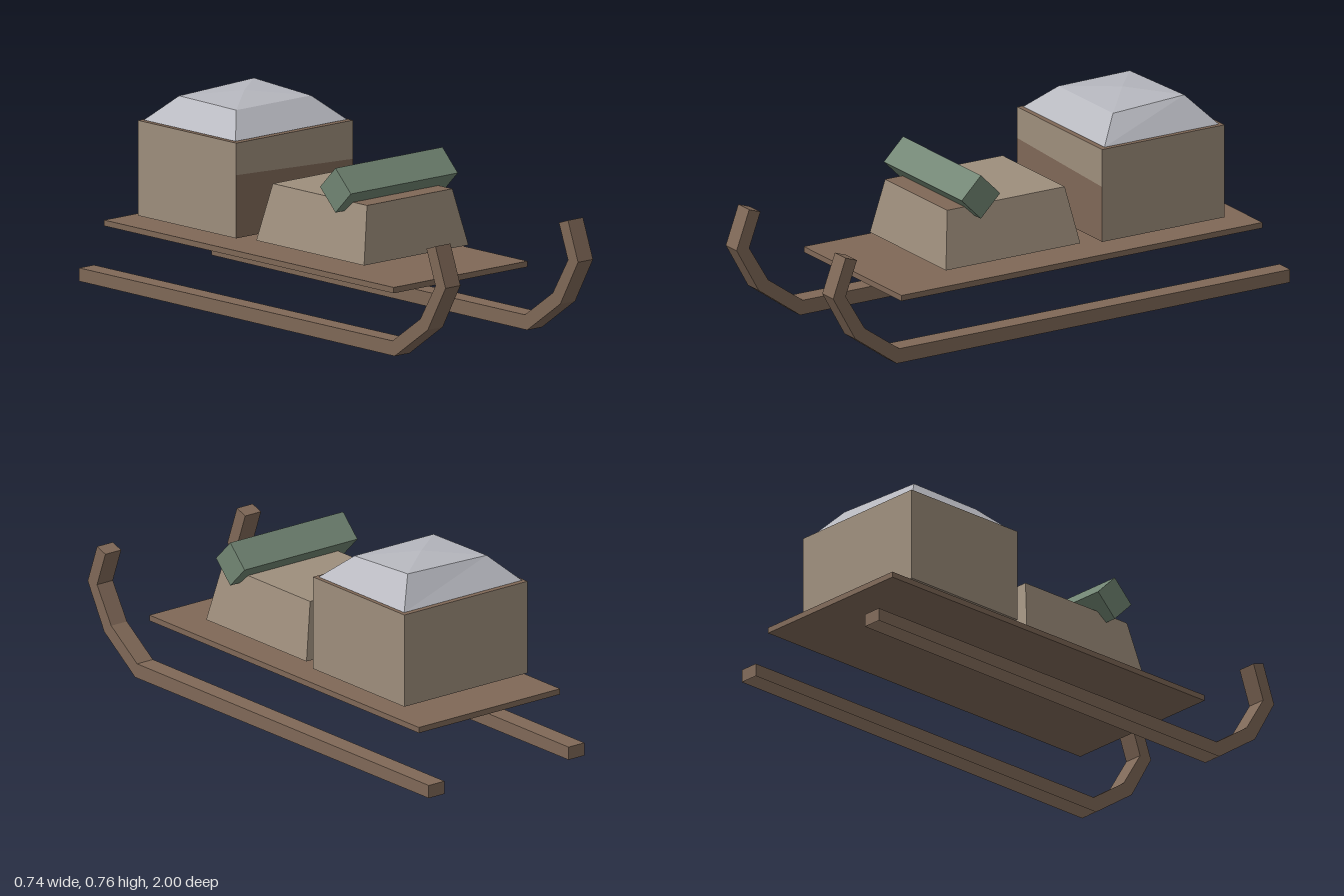
import * as THREE from 'three';

const material = (name, color) => {
  const m = new THREE.MeshStandardMaterial({ color, flatShading: true, side: THREE.DoubleSide });
  m.name = name;
  return m;
};

// Non-indexed geometry from quads [a,b,c,d] and triangles [a,b,c] of points
function facets(faces) {
  const pos = [];
  for (const f of faces) {
    for (let i = 1; i < f.length - 1; i++) pos.push(...f[0], ...f[i], ...f[i + 1]);
  }
  const g = new THREE.BufferGeometry();
  g.setAttribute('position', new THREE.Float32BufferAttribute(pos, 3));
  g.computeVertexNormals();
  return g;
}

// Rectangle of corners at one height, counter-clockwise from above
const ring = (x, z0, z1, y) => [[-x, y, z1], [x, y, z1], [x, y, z0], [-x, y, z0]];

// Side walls between two rings
const walls = (lo, hi) => lo.map((p, i) => {
  const j = (i + 1) % lo.length;
  return [p, lo[j], hi[j], hi[i]];
});

export function createModel() {
  const brown = material('brown wood', 0x7f6857);
  const tan = material('tan canvas', 0x9e8e7c);
  const green = material('green blanket', 0x718573);
  const grey = material('pale grey', 0xb6b7be);

  const model = new THREE.Group();
  model.name = 'sled';
  const add = (name, geometry, mat) => {
    const mesh = new THREE.Mesh(geometry, mat);
    mesh.name = name;
    model.add(mesh);
    return mesh;
  };

  // Runners: straight rail, hollow underneath, with a curled front
  const under = [[-1, 0.008], [0.722, 0.002], [0.903, 0.13], [1, 0.303], [0.945, 0.453]];
  const over = [[-1, 0.058], [0.71, 0.058], [0.862, 0.165], [0.945, 0.303], [0.896, 0.436]];
  for (const [side, xa, xb] of [['left', 0.295, 0.37], ['right', -0.37, -0.295]]) {
    const sections = under.map(([z, y], i) => {
      const [zt, yt] = over[i];
      return [[xa, y, z], [xb, y, z], [xb, yt, zt], [xa, yt, zt]];
    });
    const faces = [[...sections[0]].reverse(), sections[sections.length - 1]];
    for (let i = 0; i < sections.length - 1; i++) {
      walls(sections[i + 1], sections[i]).forEach((f, k) => {
        if (i > 0 || k > 0) faces.push([...f].reverse());
      });
    }
    add(side + 'Runner', facets(faces), brown);
  }

  // Deck
  add('deck', new THREE.BoxGeometry(0.672, 0.022, 1.58), brown).position.set(0, 0.239, -0.11);

  // Tapered pack, with a darker strip along the front of its top
  const packLow = ring(0.262, -0.15, 0.438, 0.283);
  const packHigh = ring(0.214, -0.112, 0.402, 0.497);
  add('pack', facets([...walls(packLow, packHigh), [...packLow].reverse(),
    ring(0.214, -0.112, 0.29, 0.497)]), tan);
  add('packFrontStrip', facets([ring(0.214, 0.29, 0.402, 0.497)]), brown);

  // Square blanket roll standing on its edge
  const roll = add('blanketRoll', new THREE.BoxGeometry(0.537, 0.119, 0.119), green);
  roll.position.set(0, 0.544, 0.289);
  roll.rotation.x = Math.PI / 4;

  // Crate: tan walls, brown top and brown lower front
  const x = 0.293, zf = -0.226, zb = -0.762, y0 = 0.283, y1 = 0.643;
  const low = ring(x, zb, zf, y0), high = ring(x, zb, zf, y1);
  const splitL = [-x, 0.522, zf], splitR = [x, 0.497, zf];
  add('crateWalls', facets([...walls(low, high).slice(1), [...low].reverse(),
    [splitL, splitR, high[1], high[0]]]), tan);
  add('crateTop', facets([high]), brown);
  add('crateLowerFront', facets([[low[0], low[1], splitR, splitL]]), brown);

  // Faceted load heaped on the crate
  const base = ring(0.28, -0.745, -0.244, 0.645);
  const shoulder = ring(0.188, -0.652, -0.34, 0.734);
  shoulder[2][1] = 0.75;
  shoulder[3][1] = 0.738;
  const peak = [0, 0.757, -0.5];
  add('heapedLoad', facets([...walls(base, shoulder),
    ...shoulder.map((p, i) => [p, shoulder[(i + 1) % 4], peak])]), grey);

  return model;
}
